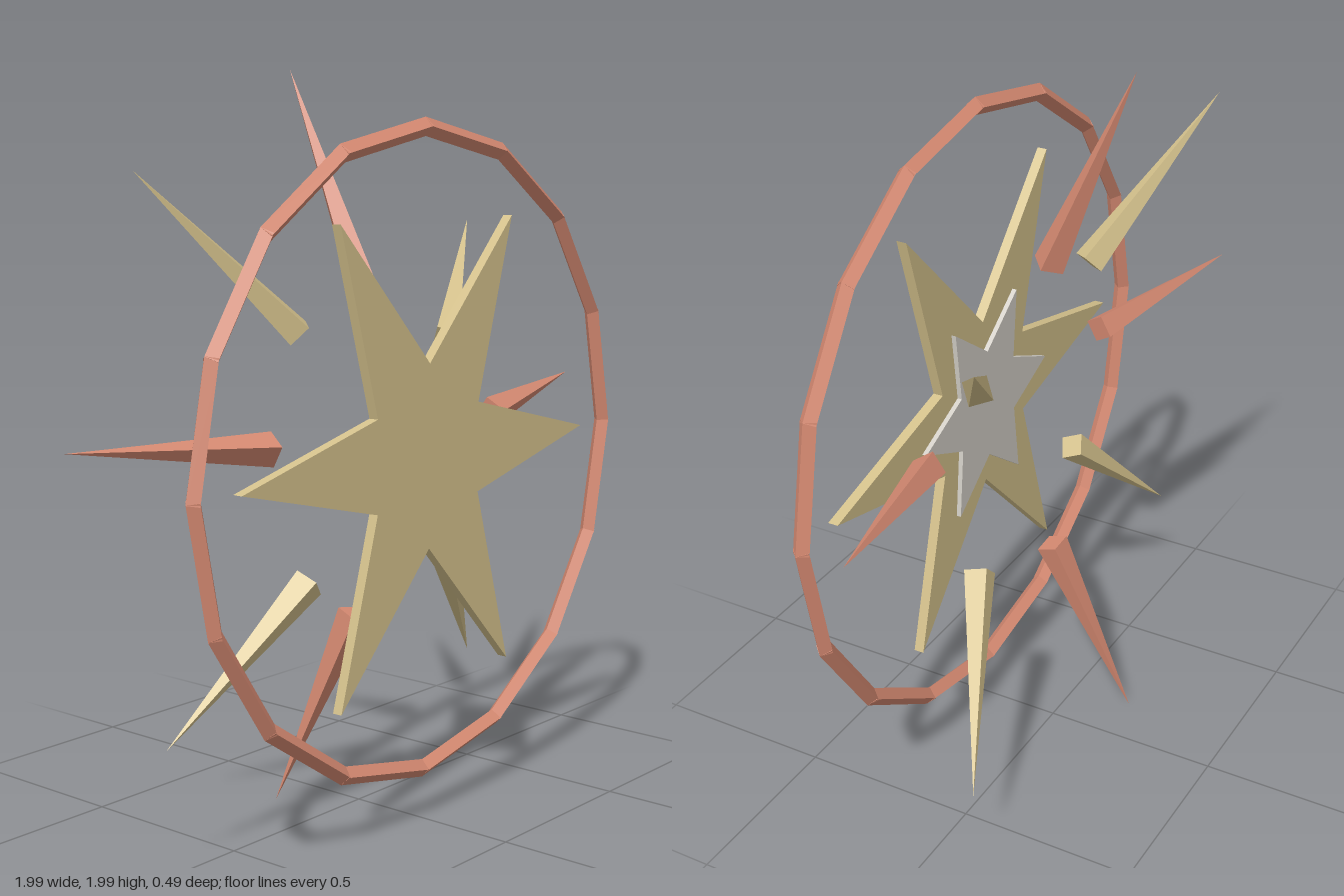
import * as THREE from 'three';

const UP = new THREE.Vector3(0, 1, 0);
const CENTER_Y = 1;

function makeMaterial(name, color) {
  const m = new THREE.MeshStandardMaterial({ color, flatShading: true });
  m.name = name;
  return m;
}

// Mesh whose local y axis runs from one point to another
function between(name, geometry, material, a, b) {
  const mesh = new THREE.Mesh(geometry, material);
  mesh.name = name;
  mesh.position.copy(a).add(b).multiplyScalar(0.5);
  mesh.quaternion.setFromUnitVectors(UP, b.clone().sub(a).normalize());
  return mesh;
}

// Six-pointed plate, with one point along +x
function star(name, outer, inner, zBack, depth, material) {
  const points = [];
  for (let i = 0; i < 12; i++) {
    const r = i % 2 ? inner : outer;
    const a = (i * Math.PI) / 6;
    points.push(new THREE.Vector2(r * Math.cos(a), r * Math.sin(a)));
  }
  const geometry = new THREE.ExtrudeGeometry(new THREE.Shape(points), { depth, bevelEnabled: false });
  const mesh = new THREE.Mesh(geometry, material);
  mesh.name = name;
  mesh.position.set(0, CENTER_Y, zBack);
  return mesh;
}

export function createModel() {
  const gold = makeMaterial('pale gold', 0xd4c18c);
  const copper = makeMaterial('copper', 0xd68a72);
  const silver = makeMaterial('silver', 0xd2cec6);
  const model = new THREE.Group();
  model.name = 'starburst';

  // Stacked star plates
  model.add(star('largeStar', 0.71, 0.245, 0.213, 0.028, gold));
  model.add(star('smallBackStar', 0.32, 0.16, 0.2, 0.013, silver));

  // Ring of sixteen four-sided rods
  const ring = new THREE.Group();
  ring.name = 'ring';
  const ringPoint = (i) => {
    const a = (i * Math.PI) / 8;
    return new THREE.Vector3(0.85 * Math.cos(a), CENTER_Y + 0.85 * Math.sin(a), 0.222);
  };
  for (let i = 0; i < 16; i++) {
    const a = ringPoint(i), b = ringPoint(i + 1);
    const rod = new THREE.CylinderGeometry(0.024, 0.024, a.distanceTo(b) + 0.01, 4);
    ring.add(between('ringRod', rod, copper, a, b));
  }
  model.add(ring);

  // Spikes fanning outward and back: material, base, tip
  const spikes = [
    [copper, [-0.015, 1.45, 0.02], [-0.035, 2.0, -0.21]],
    [gold, [0.37, 1.265, 0.01], [0.805, 1.575, -0.245]],
    [copper, [0.44, 1.055, 0.115], [0.99, 1.11, 0.0]],
    [gold, [0.31, 0.68, 0.053], [0.685, 0.27, -0.14]],
    [copper, [-0.065, 0.56, 0.038], [-0.145, 0.01, -0.178]],
    [gold, [-0.345, 0.71, 0.125], [-0.755, 0.345, 0.02]],
    [copper, [-0.44, 1.06, 0.09], [-0.995, 1.105, -0.05]],
    [gold, [-0.3, 1.335, 0.052], [-0.663, 1.745, -0.157]],
  ];
  for (const [material, base, tip] of spikes) {
    const a = new THREE.Vector3(...base), b = new THREE.Vector3(...tip);
    const cone = new THREE.ConeGeometry(0.045, a.distanceTo(b), 4);
    model.add(between('spike', cone, material, a, b));
  }
  return model;
}
